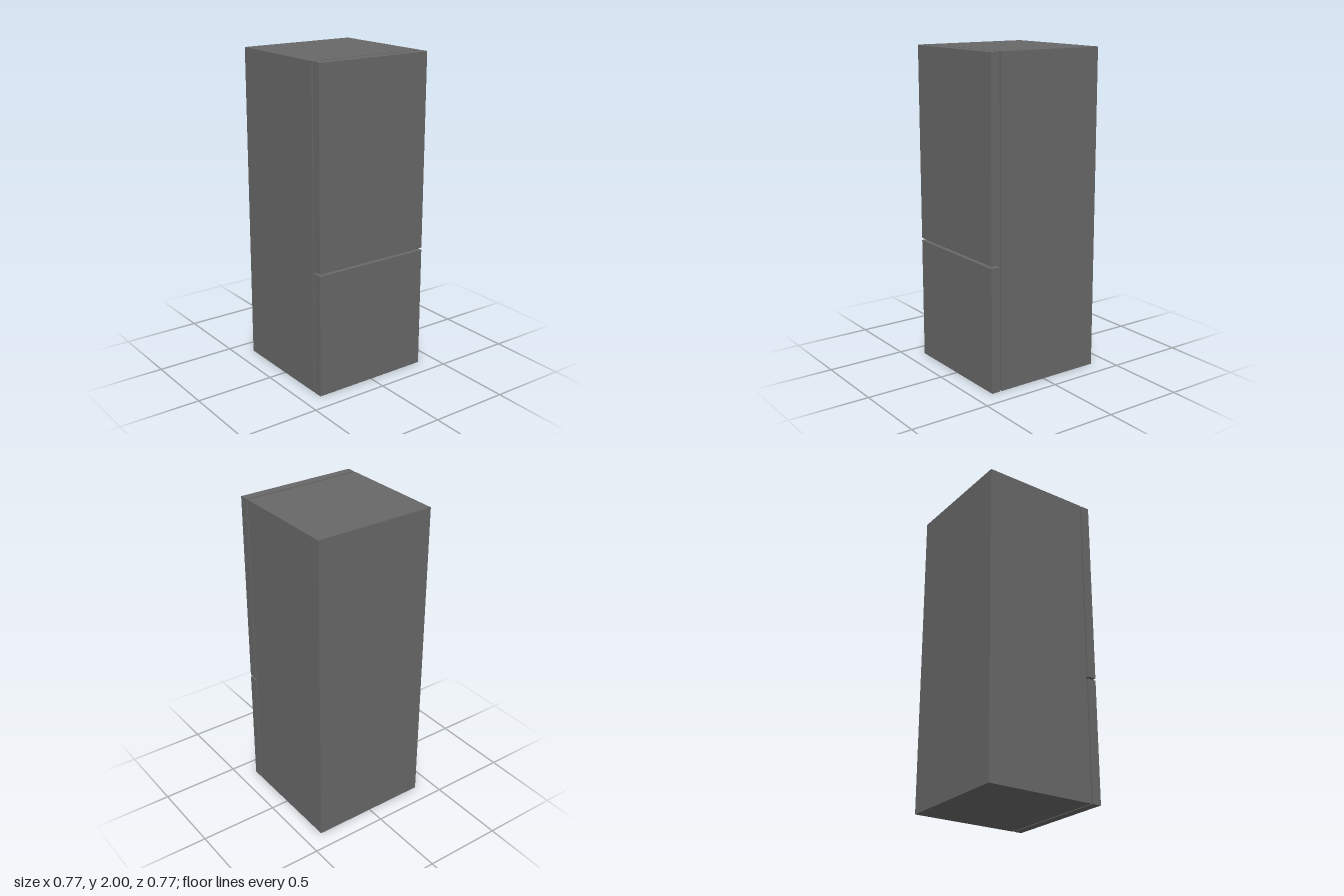
import * as THREE from 'three';

const material = new THREE.MeshStandardMaterial({ color: 0x686868 });
const WIDTH = 0.77;

// Box spanning the given y and z ranges, centred on x
function block(name, width, y0, y1, z0, z1) {
  const geometry = new THREE.BoxGeometry(width, y1 - y0, z1 - z0);
  const mesh = new THREE.Mesh(geometry, material);
  mesh.name = name;
  mesh.position.set(0, (y0 + y1) / 2, (z0 + z1) / 2);
  return mesh;
}

// Door panel: side profile with finely chamfered front edges, extruded across the width
function door(name, y0, y1, z0, z1) {
  const c = 0.002;
  const profile = new THREE.Shape([
    [z0, y0], [z1 - c, y0], [z1, y0 + c],
    [z1, y1 - c], [z1 - c, y1], [z0, y1],
  ].map(([z, y]) => new THREE.Vector2(-z, y)));
  const geometry = new THREE.ExtrudeGeometry(profile, { depth: WIDTH, bevelEnabled: false });
  geometry.translate(0, 0, -WIDTH / 2);
  geometry.rotateY(Math.PI / 2); // profile -x axis becomes model z
  const mesh = new THREE.Mesh(geometry, material);
  mesh.name = name;
  return mesh;
}

export function createModel() {
  const fridge = new THREE.Group();
  fridge.name = 'fridge';
  fridge.add(
    block('cabinet', WIDTH, 0, 2, -0.385, 0.315),
    // Recessed seal between the cabinet and the doors
    block('doorSeal', 0.698, 0.03, 1.97, 0.315, 0.326),
    door('lowerDoor', 0, 0.772, 0.326, 0.385),
    door('upperDoor', 0.785, 2, 0.326, 0.385),
  );
  return fridge;
}
